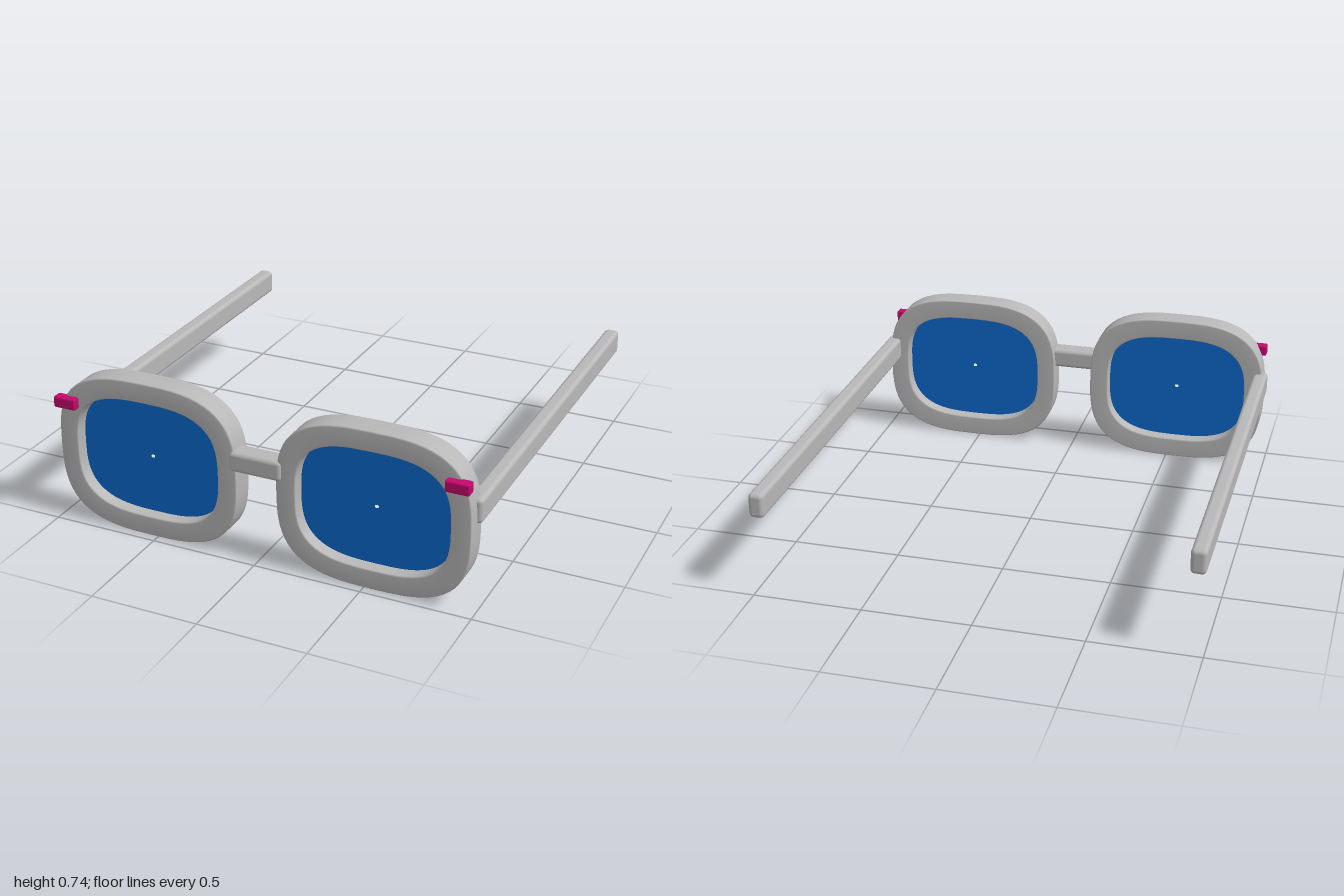
import * as THREE from 'three';
import { RoundedBoxGeometry } from 'three/addons/geometries/RoundedBoxGeometry.js';

const CX = 0.535, CY = 0.375; // centre of the right-hand rim
const SEG = 64;

// Point on a rounded-square (superellipse) outline
function outline(a, b, t, n = 3) {
  const c = Math.cos(t), s = Math.sin(t), e = 2 / n;
  return [a * Math.sign(c) * Math.abs(c) ** e, b * Math.sign(s) * Math.abs(s) ** e];
}

// Loft closed loops, each [half width, half height, z]; optionally joins last to first
function loft(loops, closed) {
  const pos = [], idx = [];
  for (const [a, b, z] of loops)
    for (let i = 0; i < SEG; i++) {
      const [x, y] = outline(a, b, (i / SEG) * Math.PI * 2);
      pos.push(x, y, z);
    }
  const rows = closed ? loops.length : loops.length - 1;
  for (let j = 0; j < rows; j++)
    for (let i = 0; i < SEG; i++) {
      const k = (i + 1) % SEG, m = (j + 1) % loops.length;
      const p = j * SEG + i, q = j * SEG + k, r = m * SEG + k, s = m * SEG + i;
      idx.push(p, q, r, p, r, s);
    }
  const g = new THREE.BufferGeometry();
  g.setAttribute('position', new THREE.Float32BufferAttribute(pos, 3));
  g.setIndex(idx);
  g.computeVertexNormals();
  return g;
}

export function createModel() {
  const group = new THREE.Group();
  const material = (name, color, side = THREE.FrontSide) => {
    const m = new THREE.MeshStandardMaterial({ color, side });
    m.name = name;
    return m;
  };
  const grey = material('frameGrey', 0xb8b8b8);
  const blue = material('lensBlue', 0x0b68cc, THREE.DoubleSide);
  const pink = material('accentMagenta', 0xc4086c);

  const add = (name, geo, mat, x, y, z) => {
    const mesh = new THREE.Mesh(geo, mat);
    mesh.name = name;
    mesh.position.set(x, y, z);
    group.add(mesh);
  };

  // Rim: nearly square section swept around the lens, softly shaded
  const rim = loft([
    [0.440, 0.370, -0.055],
    [0.440, 0.370, 0.052],
    [0.434, 0.364, 0.058],
    [0.356, 0.283, 0.058],
    [0.350, 0.277, 0.052],
    [0.350, 0.277, -0.052],
    [0.356, 0.283, -0.058],
    [0.434, 0.364, -0.058],
  ], true);

  // Lens: thin sheet with a pinhole in the middle
  const lens = loft([[0.348, 0.275, 0], [0.009, 0.007, 0]], false);

  const temple = new RoundedBoxGeometry(0.07, 0.115, 1.9, 2, 0.02);
  const stud = new RoundedBoxGeometry(0.108, 0.052, 0.05, 1, 0.008);

  for (const [side, s] of [['left', 1], ['right', -1]]) {
    add(side + 'Rim', rim, grey, s * CX, CY, 0.907);
    add(side + 'Lens', lens, blue, s * CX, CY, 0.907);
    add(side + 'Temple', temple, grey, s * 0.96, 0.448, -0.05);
    add(side + 'Stud', stud, pink, s * 0.92, 0.591, 0.975);
  }

  // Bridge between the rims
  add('bridge', new RoundedBoxGeometry(0.25, 0.095, 0.097, 2, 0.02), grey, 0, 0.47, 0.927);

  return group;
}
